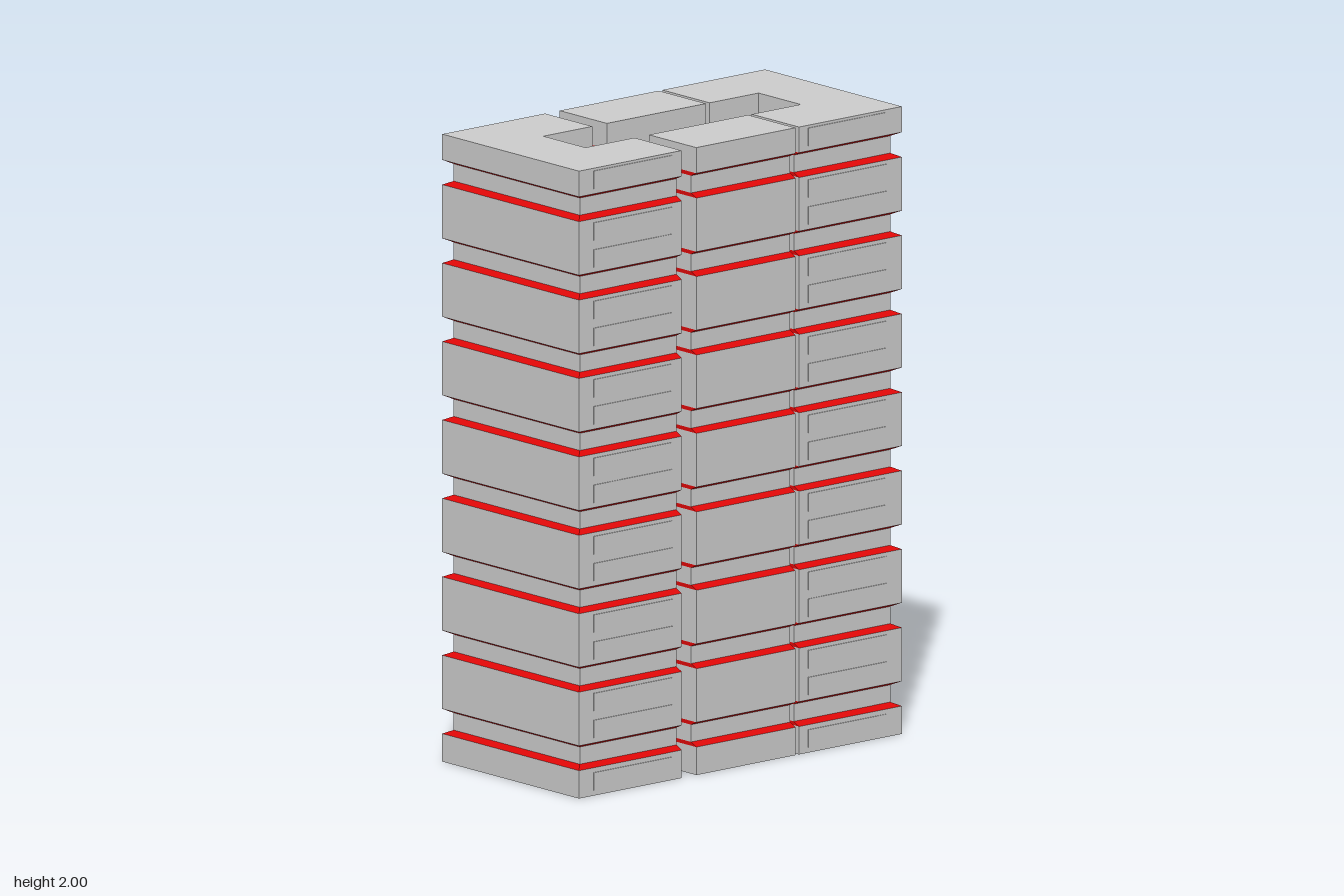
import * as THREE from 'three';

const OUT_X = 0.325, OUT_Z = 0.66, INSET = 0.025;
const grey = new THREE.MeshStandardMaterial({ color: 0xcccccc, flatShading: true });
const red = new THREE.MeshStandardMaterial({ color: 0xdd0808, flatShading: true });

// Plan outlines as [x, z], counter-clockwise seen from above
const U_FRONT = [[-OUT_X, OUT_Z], [OUT_X, OUT_Z], [OUT_X, 0.24], [0.1, 0.24],
  [0.1, 0.44], [-0.1, 0.44], [-0.1, 0.24], [-OUT_X, 0.24]];
const U_BACK = U_FRONT.map(([x, z]) => [-x, -z]);
const BAR_LEFT = [[0.1, 0.18], [OUT_X, 0.18], [OUT_X, -0.225], [0.1, -0.225]];
const BAR_RIGHT = [[-OUT_X, 0.18], [-0.1, 0.18], [-0.1, -0.225], [-OUT_X, -0.225]];

// Height levels: [y, inset of the outer faces]
const levels = [[0, 0]];
for (let k = 0; k < 8; k++) {
  const y = 0.25 * k;
  levels.push([y + 0.089, 0], [y + 0.101, INSET], [y + 0.156, INSET], [y + 0.168, 0]);
}
levels.push([2, 0]);

// Only the faces on the outside of the whole stack step inwards
function inset([x, z], d) {
  return [
    Math.abs(x) > 0.3 ? x - Math.sign(x) * d : x,
    Math.abs(z) > 0.6 ? z - Math.sign(z) * d : z,
  ];
}

function meshFrom(positions, material, name) {
  const geometry = new THREE.BufferGeometry();
  geometry.setAttribute('position', new THREE.Float32BufferAttribute(positions, 3));
  geometry.computeVertexNormals();
  const mesh = new THREE.Mesh(geometry, material);
  mesh.name = name;
  return mesh;
}

// A grooved column: walls lofted through the levels, sloping bands in red
function column(outline, name) {
  const group = new THREE.Group();
  group.name = name;
  const wall = [], band = [];
  for (let i = 0; i + 1 < levels.length; i++) {
    const [y0, d0] = levels[i], [y1, d1] = levels[i + 1];
    outline.forEach((p, j) => {
      const q = outline[(j + 1) % outline.length];
      const inner = Math.abs(p[0]) <= 0.1 && Math.abs(q[0]) <= 0.1;
      const at = (pt, y, d) => {
        const [x, z] = inset(pt, d);
        return [x, y, z];
      };
      const a0 = at(p, y0, d0), b0 = at(q, y0, d0), a1 = at(p, y1, d1), b1 = at(q, y1, d1);
      (d0 !== d1 && !inner ? band : wall).push(...a0, ...b0, ...b1, ...a0, ...b1, ...a1);
    });
  }
  // Bottom and top caps
  const points = outline.map(([x, z]) => new THREE.Vector2(x, -z));
  for (const [a, b, c] of THREE.ShapeUtils.triangulateShape(points, [])) {
    const at = (i, y) => [outline[i][0], y, outline[i][1]];
    wall.push(...at(a, 2), ...at(b, 2), ...at(c, 2));
    wall.push(...at(a, 0), ...at(c, 0), ...at(b, 0));
  }
  group.add(meshFrom(wall, grey, name + 'Body'), meshFrom(band, red, name + 'RedBands'));
  return group;
}

// Thin raised panels on the sides of the end columns
function sidePanels() {
  const group = new THREE.Group();
  group.name = 'sidePanels';
  const heights = [0.045, 1.963];
  for (let k = 0; k < 7; k++) heights.push(0.212 + 0.25 * k, 0.298 + 0.25 * k);
  const geometry = new THREE.BoxGeometry(0.006, 0.057, 0.32);
  for (const y of heights) {
    for (const side of [-1, 1]) {
      for (const z of [0.44, -0.436]) {
        const panel = new THREE.Mesh(geometry, grey);
        panel.name = 'sidePanel';
        panel.position.set(side * OUT_X, y, z);
        group.add(panel);
      }
    }
  }
  return group;
}

export function createModel() {
  const model = new THREE.Group();
  model.name = 'groovedTower';
  model.add(
    column(U_FRONT, 'frontColumn'),
    column(U_BACK, 'backColumn'),
    column(BAR_LEFT, 'leftMiddleColumn'),
    column(BAR_RIGHT, 'rightMiddleColumn'),
    sidePanels(),
  );
  return model;
}
